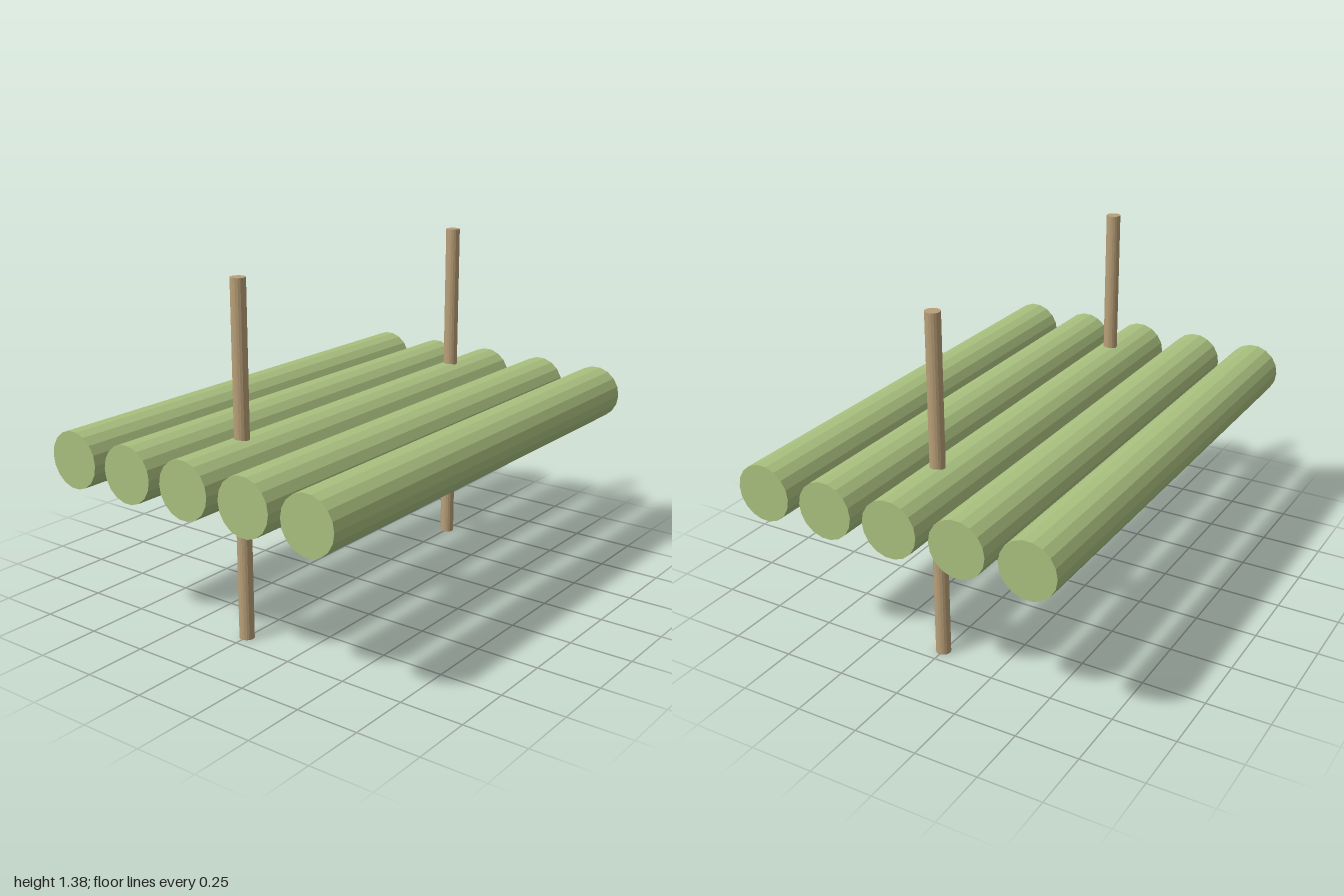
import * as THREE from 'three';

export function createModel() {
  const group = new THREE.Group();
  const green = new THREE.MeshStandardMaterial({ color: 0xa9c07f, flatShading: true });
  const brown = new THREE.MeshStandardMaterial({ color: 0xb89f78, flatShading: true });

  // Five parallel logs lying front to back
  const logGeometry = new THREE.CylinderGeometry(0.112, 0.112, 2, 18);
  logGeometry.rotateY(Math.PI / 2).rotateX(Math.PI / 2);
  for (let i = -2; i <= 2; i++) {
    const log = new THREE.Mesh(logGeometry, green);
    log.name = 'log';
    log.position.set(i * 0.275, 0.676, 0);
    group.add(log);
  }

  // Two upright poles through the middle log
  const poleGeometry = new THREE.CylinderGeometry(0.029, 0.029, 1.375, 18);
  for (const side of [1, -1]) {
    const pole = new THREE.Mesh(poleGeometry, brown);
    pole.name = side > 0 ? 'frontPole' : 'backPole';
    pole.position.set(0, 0.6875, side * 0.6875);
    group.add(pole);
  }
  return group;
}
